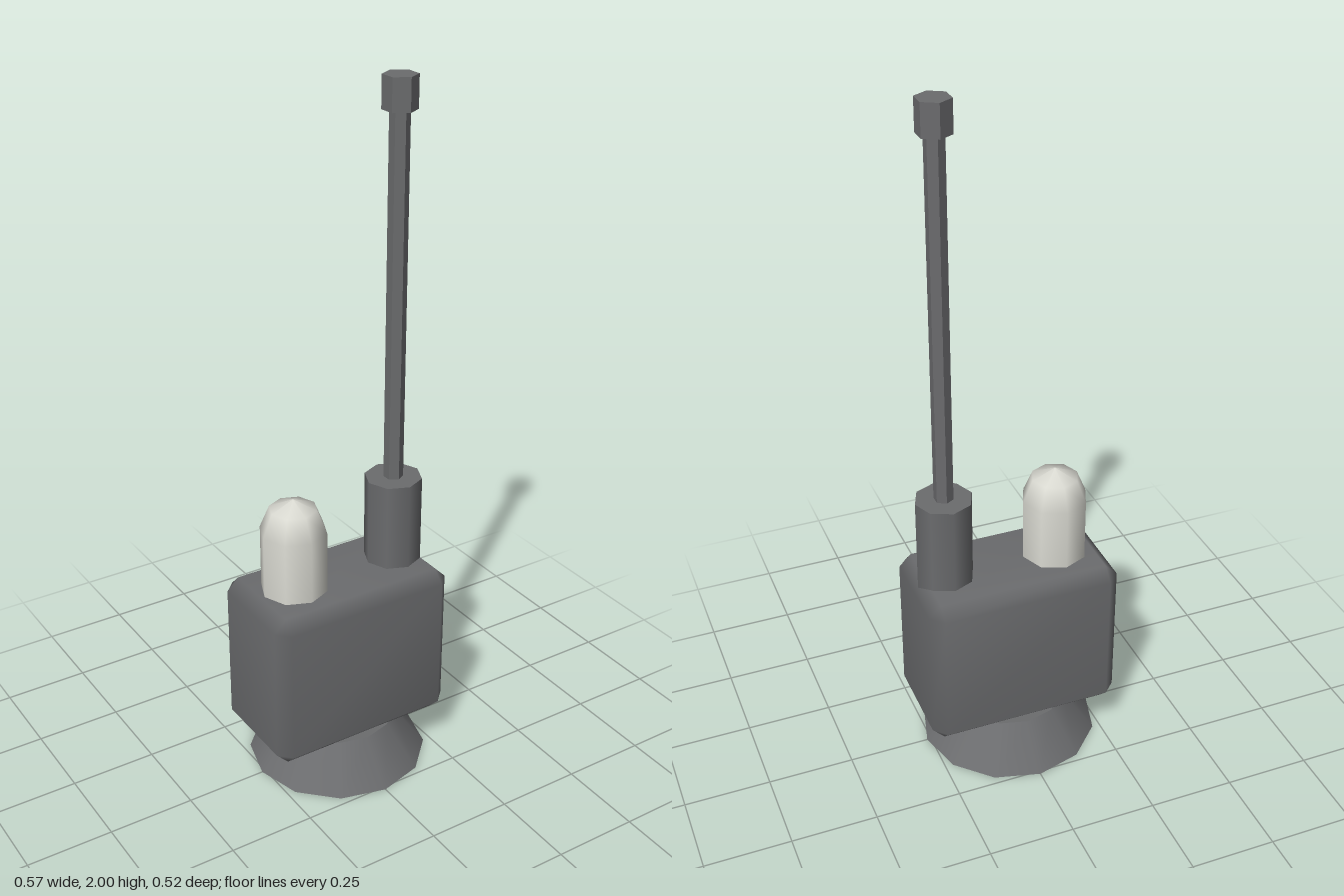
import * as THREE from 'three';
import { mergeVertices } from 'three/addons/utils/BufferGeometryUtils.js';
import { ConvexGeometry } from 'three/addons/geometries/ConvexGeometry.js';

// Box with single-step chamfers and soft shading across them
function chamferedBox(hx, hy, hz, b) {
  const points = [];
  for (const x of [-1, 1]) for (const y of [-1, 1]) for (const z of [-1, 1]) {
    points.push(
      new THREE.Vector3(x * hx, y * (hy - b), z * (hz - b)),
      new THREE.Vector3(x * (hx - b), y * hy, z * (hz - b)),
      new THREE.Vector3(x * (hx - b), y * (hy - b), z * hz));
  }
  const hull = new ConvexGeometry(points);
  hull.deleteAttribute('normal');
  const geometry = mergeVertices(hull, 1e-4);
  geometry.computeVertexNormals();
  return geometry;
}

// Upright prism between two heights, optionally with flat-shaded sides
function post(rTop, rBottom, y0, y1, sides, flat = false) {
  let geometry = new THREE.CylinderGeometry(rTop, rBottom, y1 - y0, sides);
  if (flat) {
    geometry = geometry.toNonIndexed();
    geometry.computeVertexNormals();
  }
  return geometry.translate(0, (y0 + y1) / 2, 0);
}

export function createModel() {
  const model = new THREE.Group();
  model.name = 'antennaUnit';
  const grey = new THREE.MeshStandardMaterial({ color: 0x6b6c6e });
  grey.name = 'darkGrey';
  const white = new THREE.MeshStandardMaterial({ color: 0xd8d8d0 });
  white.name = 'offWhite';

  const add = (name, geometry, material, x = 0) => {
    const mesh = new THREE.Mesh(geometry, material);
    mesh.name = name;
    mesh.position.x = x;
    model.add(mesh);
    return mesh;
  };

  // Flared foot and housing
  add('foot', post(0.166, 0.262, 0, 0.125, 12), grey);
  add('housing', chamferedBox(0.286, 0.24, 0.167, 0.036), grey).position.y = 0.36;

  // Domed cap: straight wall, then a coarse hemisphere
  const r = 0.096;
  const profile = [new THREE.Vector2(r, 0.58)];
  for (let i = 0; i <= 4; i += 2) {
    const a = i * Math.PI / 8;
    profile.push(new THREE.Vector2(i === 4 ? 0 : r * Math.cos(a), 0.786 + r * Math.sin(a)));
  }
  add('dome', new THREE.LatheGeometry(profile, 8), white, -0.143);

  // Antenna: socket, rod and tip
  add('antennaSocket', post(0.083, 0.083, 0.55, 0.86, 8), grey, 0.19);
  add('antennaRod', post(0.028, 0.028, 0.84, 1.92, 6, true), grey, 0.19);
  add('antennaTip', post(0.048, 0.048, 1.91, 2, 6, true), grey, 0.19);

  return model;
}
